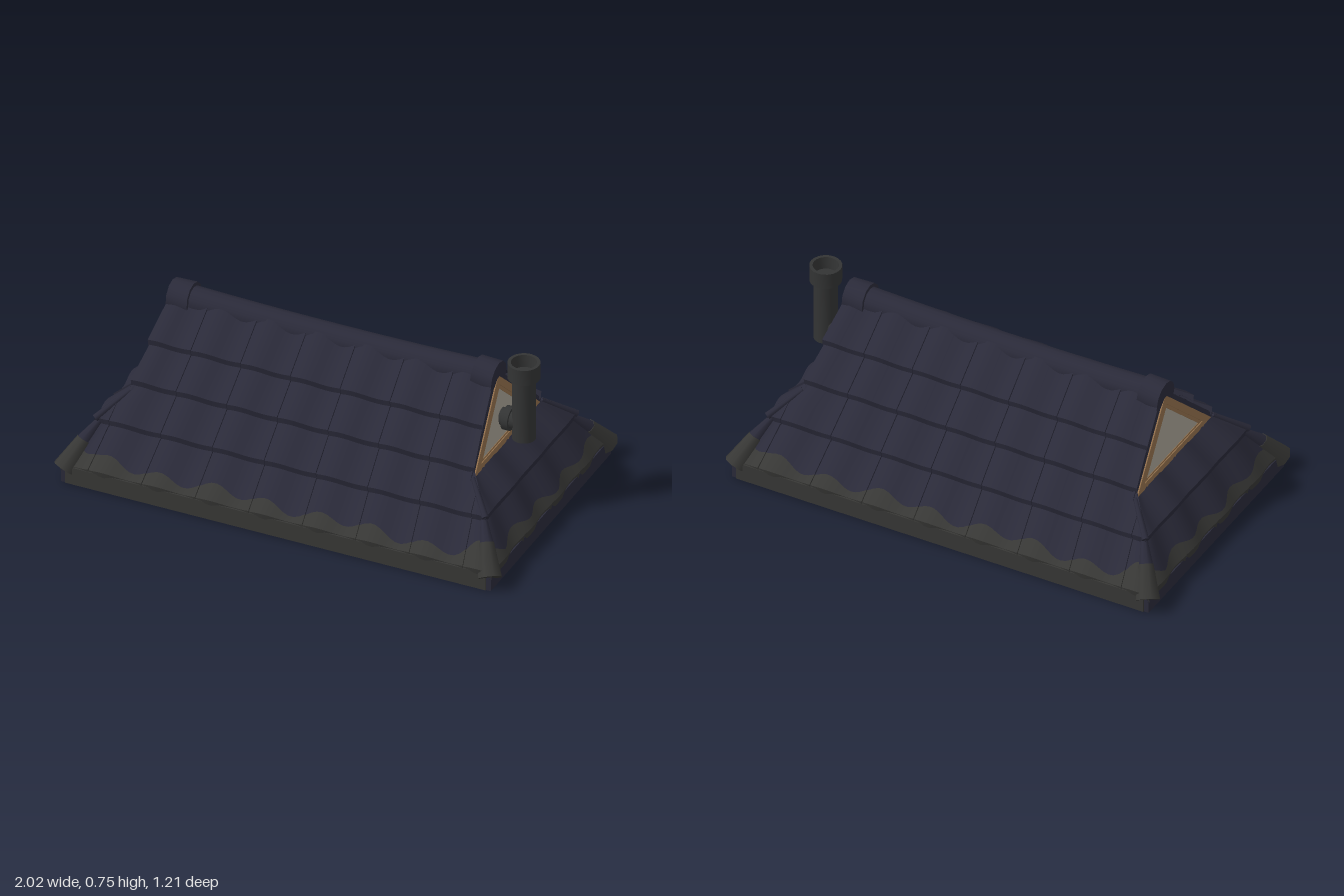
import * as THREE from 'three';
import { toCreasedNormals, mergeGeometries } from 'three/addons/utils/BufferGeometryUtils.js';

const mat = (name, color) => {
  const m = new THREE.MeshStandardMaterial({ color, side: THREE.DoubleSide });
  m.name = name;
  return m;
};
const lerp = THREE.MathUtils.lerp, clamp = THREE.MathUtils.clamp;

// Height of the wavy tile above the slope, f = 0..1 across one tile
const wave = f => 0.011 * Math.sin(f * Math.PI * 2) + 0.008 * (f - 0.5);

// One tile: a strip of cross-sections from v0 to v1 down the slope, with an optional lip under its end
function tile(c, i, v0, v1, lip) {
  const N = 10, pos = [], idx = [];
  const steps = lip ? [0, 0.5, 1, 2] : [0, 0.5, 1];
  const slope = new THREE.Vector2(c.bottom[0] - c.top[0], c.bottom[1] - c.top[1]).normalize();
  const range = v => {
    const w = lerp(c.wTop, c.wBottom, v), s = lerp(c.pitch[0], c.pitch[1], v);
    const a = (i + c.phase) * s;
    return { w, s, a, lo: clamp(a, -w, w), hi: clamp(a + s, -w, w) };
  };
  if (range(1).hi - range(1).lo < 0.001) return null;
  for (const t of steps) {
    for (let j = 0; j <= N + 1; j++) {
      const k = Math.min(j, N) / N;
      const end = range(1), xb = lerp(end.lo, end.hi, k);
      const v = lerp(v0(xb), v1(xb), Math.min(t, 1));
      const r = range(v), x = lerp(r.lo, r.hi, k);
      const f = j > N ? 0 : (x - r.a) / r.s;
      const h = wave(f) * clamp((r.w - Math.abs(x)) / 0.05, 0, 1);
      const drop = t > 1 ? 0.037 : 0;
      pos.push(x,
        lerp(c.top[1], c.bottom[1], v) + h * slope.x - drop,
        lerp(c.top[0], c.bottom[0], v) - h * slope.y - drop * 0.2);
    }
  }
  const row = N + 2;
  for (let r = 0; r < steps.length - 1; r++)
    for (let j = 0; j < row - 1; j++) {
      const p = r * row + j;
      idx.push(p, p + row, p + 1, p + 1, p + row, p + row + 1);
    }
  const g = new THREE.BufferGeometry();
  g.setAttribute('position', new THREE.Float32BufferAttribute(pos, 3));
  g.setIndex(idx);
  return toCreasedNormals(g, 0.7);
}

function courseGeometry(c, v0, v1, lip) {
  const tiles = [];
  for (let i = -6; i <= 6; i++) {
    const g = tile(c, i, v0, v1, lip);
    if (g) tiles.push(g);
  }
  return mergeGeometries(tiles);
}

// Triangular board given as [half width, base y, apex y], optionally with a triangular hole
function triangleBoard(outer, inner, depth) {
  const points = ([w, y0, y1]) => [[-w, y0], [w, y0], [0, y1]].map(p => new THREE.Vector2(p[0], p[1] - 0.345));
  const shape = new THREE.Shape(points(outer));
  if (inner) shape.holes.push(new THREE.Path(points(inner)));
  return new THREE.ExtrudeGeometry(shape, { depth, bevelEnabled: false });
}

function rectPath(Type, w, d) {
  return new Type([[-w, -d], [w, -d], [w, d], [-w, d]].map(p => new THREE.Vector2(...p)));
}

export function createModel() {
  const model = new THREE.Group();
  model.name = 'tiledRoof';
  const slate = mat('slate', 0x2a2a39), weathered = mat('weatheredEdge', 0x373735);
  const wood = mat('wood', 0x8f6d4a), panel = mat('palePanel', 0xa39d90), iron = mat('iron', 0x333434);

  const add = (parent, name, geo, m, p = [0, 0, 0], r = [0, 0, 0]) => {
    const mesh = new THREE.Mesh(geo, m);
    mesh.name = name;
    mesh.position.set(...p);
    mesh.rotation.set(...r);
    parent.add(mesh);
    return mesh;
  };
  const group = (name, ry) => {
    const g = new THREE.Group();
    g.name = name;
    g.rotation.y = ry;
    model.add(g);
    return g;
  };

  // Tile courses: top and bottom are [distance out, height]
  const long = { phase: 0.5 }, short = { phase: 0 };
  const longCourses = [
    { ...long, top: [0.04, 0.66], bottom: [0.2, 0.528], wTop: 0.73, wBottom: 0.757, pitch: [0.222, 0.225] },
    { ...long, top: [0.185, 0.51], bottom: [0.32, 0.397], wTop: 0.75, wBottom: 0.777, pitch: [0.225, 0.229] },
    { ...long, top: [0.305, 0.378], bottom: [0.44, 0.257], wTop: 0.77, wBottom: 0.885, pitch: [0.229, 0.234] },
    { ...long, top: [0.425, 0.24], bottom: [0.58, 0.09], wTop: 0.87, wBottom: 0.975, pitch: [0.234, 0.242] },
  ];
  const shortCourses = [
    { ...short, top: [0.775, 0.35], bottom: [0.885, 0.257], wTop: 0.33, wBottom: 0.44, pitch: [0.235, 0.25] },
    { ...short, top: [0.87, 0.24], bottom: [0.975, 0.09], wTop: 0.425, wBottom: 0.58, pitch: [0.245, 0.265] },
  ];

  // Ragged upper border of the weathered band on the lowest course
  const border = w => x =>
    0.76 + 0.09 * Math.sin(x * 26) + 0.04 * Math.sin(x * 11 + 1) - 0.28 * clamp((Math.abs(x) - w + 0.16) / 0.16, 0, 1);

  const slopeSide = (name, courses, ry) => {
    const g = group(name, ry);
    courses.forEach((c, i) => {
      const last = i === courses.length - 1;
      const b = last ? border(c.wBottom) : () => 1;
      add(g, 'tileCourse' + (i + 1), courseGeometry(c, () => 0, b, !last), slate);
      if (last) add(g, 'weatheredTileEdge', courseGeometry(c, b, () => 1, true), weathered);
    });
    return g;
  };
  const front = slopeSide('frontSlope', longCourses, 0);
  const back = slopeSide('backSlope', longCourses, Math.PI);
  for (const g of [front, back])
    add(g, 'eaveBoard', new THREE.BoxGeometry(1.9, 0.08, 0.008), weathered, [0, 0.041, 0.577]);

  // Hollow eave ring under the tiles
  const ringShape = rectPath(THREE.Shape, 0.972, 0.575);
  ringShape.holes.push(rectPath(THREE.Path, 0.83, 0.43));
  add(model, 'eaveRing', new THREE.ExtrudeGeometry(ringShape, { depth: 0.075, bevelEnabled: false }), slate,
    [0, 0.075, 0], [Math.PI / 2, 0, 0]);

  // Short skirts and gables at both ends
  for (const s of [1, -1]) {
    const end = slopeSide(s > 0 ? 'leftEnd' : 'rightEnd', shortCourses, s * Math.PI / 2);
    const gable = new THREE.Group();
    gable.name = 'gable';
    gable.position.set(0, 0.345, 0.763);
    gable.rotation.x = -0.14;
    end.add(gable);
    add(gable, 'vergeBoard', triangleBoard([0.345, 0.345, 0.68], [0.312, 0.346, 0.645], 0.008), slate);
    add(gable, 'gableFrame', triangleBoard([0.315, 0.345, 0.65], [0.245, 0.37, 0.607], 0.014), wood);
    add(gable, 'gableTrim', triangleBoard([0.248, 0.368, 0.61], [0.218, 0.377, 0.588], 0.009), wood);
    add(gable, 'gablePanel', triangleBoard([0.222, 0.375, 0.59], null, 0.006), panel);
  }

  // Hip rolls: weathered at the foot, slate above
  const up = new THREE.Vector3(0, 1, 0);
  const roll = (name, a, b, r0, r1, m) => {
    const d = b.clone().sub(a);
    const mesh = add(model, name, new THREE.CylinderGeometry(r1, r0, d.length(), 8), m,
      a.clone().add(b).multiplyScalar(0.5).toArray());
    mesh.quaternion.setFromUnitVectors(up, d.normalize());
  };
  for (const sx of [1, -1]) for (const sz of [1, -1]) {
    const at = (x, y, z) => new THREE.Vector3(x * sx, y, z * sz);
    roll('hipFoot', at(0.962, 0.055, 0.562), at(0.91, 0.168, 0.485), 0.052, 0.032, weathered);
    roll('hipRoll', at(0.912, 0.165, 0.487), at(0.868, 0.238, 0.423), 0.03, 0.014, slate);
    roll('hipRollUpper', at(0.882, 0.25, 0.437), at(0.775, 0.352, 0.328), 0.016, 0.01, slate);
  }

  // Sagging ridge with end collars
  const ridge = new THREE.CatmullRomCurve3([[-0.72, 0.64], [-0.36, 0.63], [0, 0.627], [0.36, 0.63], [0.72, 0.64]]
    .map(([x, y]) => new THREE.Vector3(x, y, 0)));
  add(model, 'ridge', new THREE.TubeGeometry(ridge, 12, 0.06, 12), slate);
  for (const s of [1, -1])
    add(model, 'ridgeCollar', toCreasedNormals(new THREE.CylinderGeometry(0.074, 0.074, 0.095, 12), 0.6), slate,
      [s * 0.688, 0.638, 0], [0, 0, Math.PI / 2 - s * 0.04]);

  // Flue pipe with a hollow cap and a wall elbow
  const flue = group('fluePipe', 0);
  const profile = [[0, 0.38], [0.05, 0.38], [0.05, 0.672], [0.068, 0.672], [0.068, 0.745], [0.054, 0.745], [0.05, 0.69], [0, 0.69]];
  add(flue, 'flueStack', toCreasedNormals(
    new THREE.LatheGeometry(profile.map(p => new THREE.Vector2(...p)), 20), 0.6), iron, [0.85, 0, 0]);
  add(flue, 'flueElbow', new THREE.CylinderGeometry(0.04, 0.04, 0.1, 16), iron, [0.8, 0.455, 0], [0, 0, Math.PI / 2]);
  add(flue, 'flueFlange', new THREE.CylinderGeometry(0.052, 0.052, 0.03, 16), iron, [0.782, 0.455, 0], [0, 0, Math.PI / 2]);

  return model;
}
